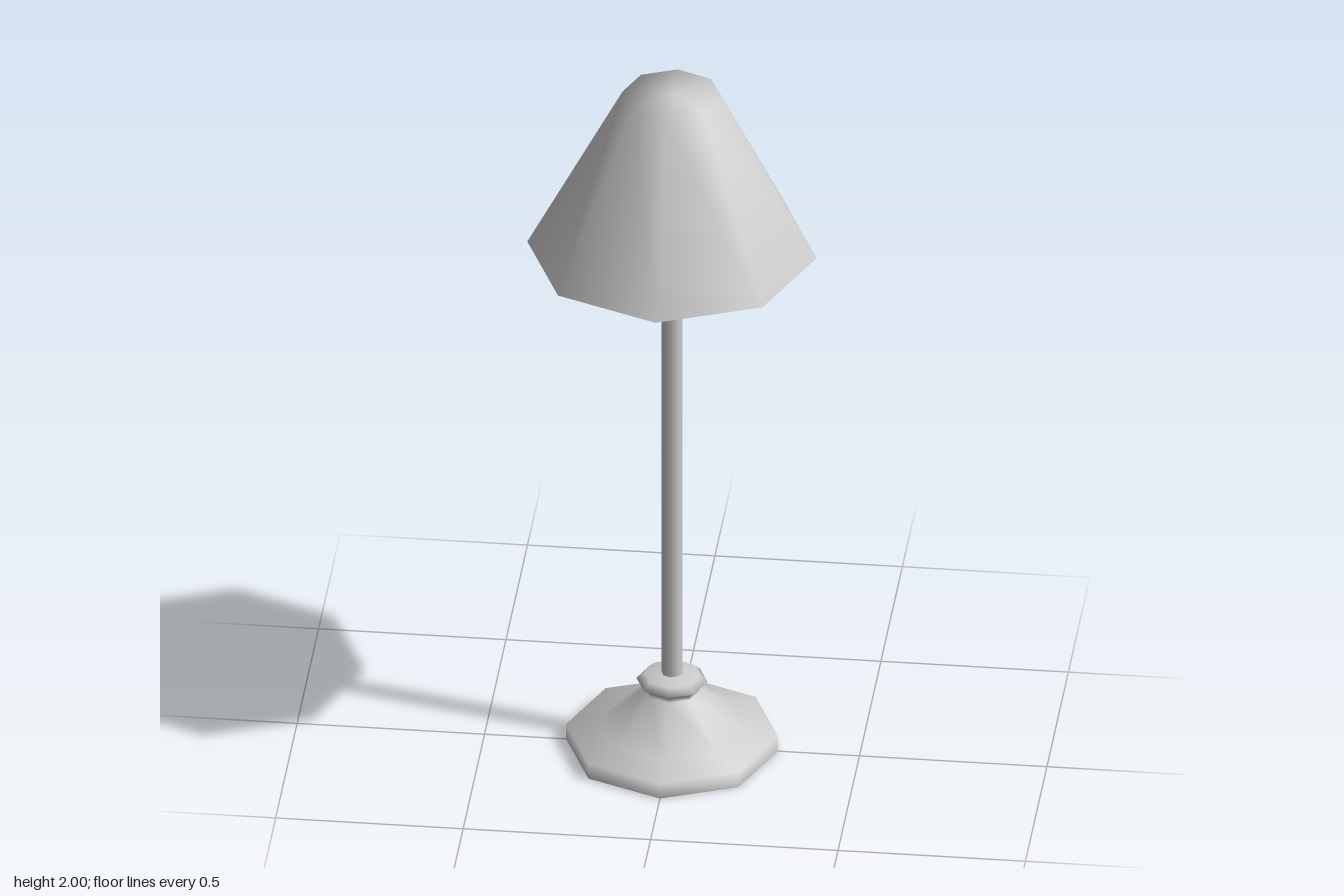
import * as THREE from 'three';

const SIDES = 8;
const material = new THREE.MeshStandardMaterial({ color: 0xcccccc, side: THREE.DoubleSide });

// Revolve a profile of [radius, height] pairs, listed from bottom to top
function turned(name, profile) {
  const points = profile.map(([r, y]) => new THREE.Vector2(r, y));
  const mesh = new THREE.Mesh(new THREE.LatheGeometry(points, SIDES), material);
  mesh.name = name;
  return mesh;
}

export function createModel() {
  const lamp = new THREE.Group();
  lamp.name = 'lamp';

  // Hollow foot with a sloping top and a collar around the pole
  lamp.add(turned('base', [
    [0.283, 0], [0.283, 0.045], [0.196, 0.064], [0.075, 0.172],
    [0.072, 0.182], [0.095, 0.2], [0.075, 0.219], [0.028, 0.224],
  ]));

  // Slim pole reaching up inside the shade
  const pole = new THREE.Mesh(new THREE.CylinderGeometry(0.028, 0.028, 1.78, SIDES, 1, true), material);
  pole.name = 'pole';
  pole.position.y = 0.21 + 1.78 / 2;
  lamp.add(pole);

  // Shade, open below and closed on top
  lamp.add(turned('shade', [[0.386, 1.52], [0.132, 1.997], [0, 2]]));

  return lamp;
}
